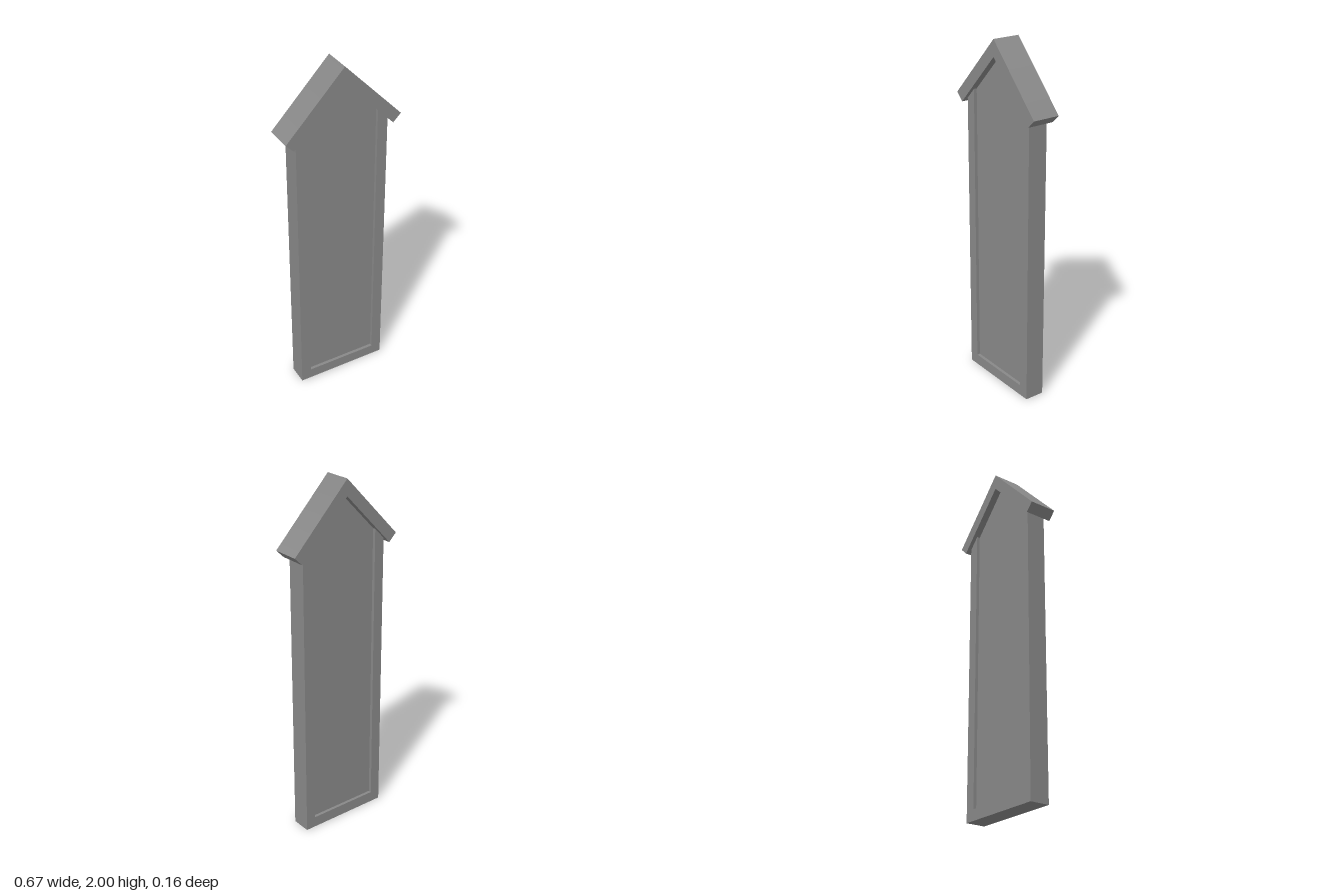
import * as THREE from 'three';

const material = new THREE.MeshStandardMaterial({ color: 0x888888 });

// Extrudes an outline symmetrically about z = 0.
function slab(name, points, depth) {
  const shape = new THREE.Shape(points.map(([x, y]) => new THREE.Vector2(x, y)));
  const geometry = new THREE.ExtrudeGeometry(shape, { depth, bevelEnabled: false });
  geometry.translate(0, 0, -depth / 2);
  const mesh = new THREE.Mesh(geometry, material);
  mesh.name = name;
  return mesh;
}

// Adds the mirrored half of an outline (right half listed from bottom to top).
const mirrored = (half) => [...half, ...half.map(([x, y]) => [-x, y]).reverse()];

// Shades the two pitches smoothly across the ridge; all other edges stay sharp.
function smoothRidge(geometry) {
  const { position, normal } = geometry.attributes;
  for (let i = 0; i < position.count; i++) {
    if (Math.abs(position.getX(i)) < 1e-4 && Math.abs(normal.getZ(i)) < 0.5) {
      normal.setXYZ(i, 0, Math.sign(normal.getY(i)), 0);
    }
  }
}

export function createModel() {
  const group = new THREE.Group();
  group.name = 'gabledPanel';

  const outer = 0.267, inner = 0.208, sill = 0.062;
  const ridge = 1.908, slope = 1.042;
  const underside = (x) => ridge - slope * x;

  // U-shaped frame: two posts and a sill, cut to the roof pitch
  group.add(slab('frame', mirrored([
    [outer, 0], [outer, underside(outer)], [inner, underside(inner)], [inner, sill],
  ]), 0.113));

  // Panel recessed equally on front and back
  group.add(slab('panel', [
    [-inner, sill], [inner, sill], [inner, underside(inner)], [0, ridge], [-inner, underside(inner)],
  ], 0.077));

  // Chevron roof with square-cut eaves
  const roof = slab('roof', [
    [0, ridge], [0.288, underside(0.288)], [0.333, 1.652], [0, 2],
    [-0.333, 1.652], [-0.288, underside(0.288)],
  ], 0.158);
  smoothRidge(roof.geometry);
  group.add(roof);

  return group;
}
